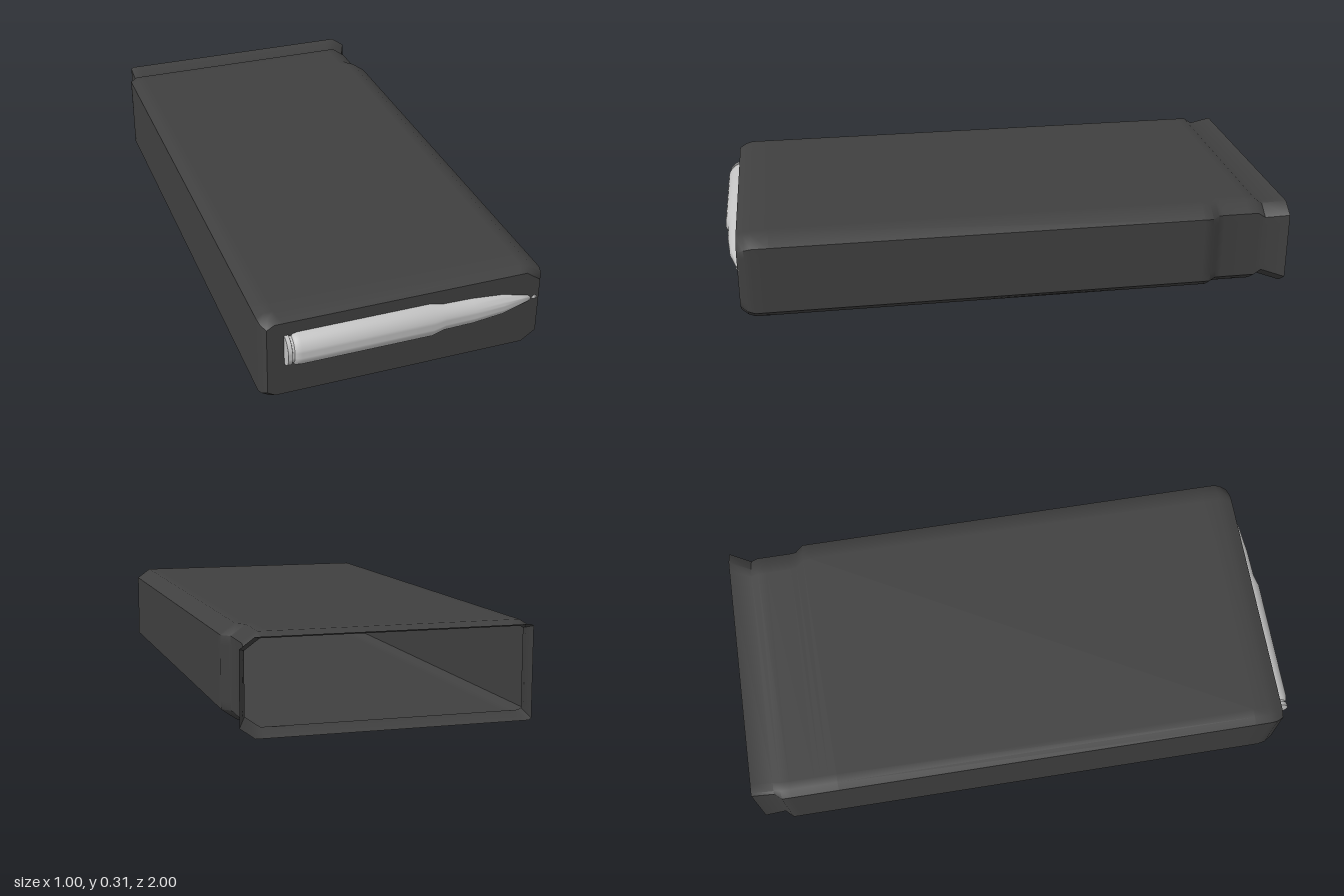
import * as THREE from 'three';
import { toCreasedNormals } from 'three/addons/utils/BufferGeometryUtils.js';

// Chamfered rectangular section, counter-clockwise seen from the front,
// with extra points beside the corners to keep the broad faces flat.
function section({ z, xl = -0.5, xr = 0.488, y0 = 0, y1 = 0.315, cl = 0.026, inset = 0 }) {
  const a = xl + inset, b = xr - inset, c = y0 + inset, d = y1 - inset;
  const lx = cl, ly = cl * 0.6, rx = 0.05, ry = 0.036, s = 0.03;
  return [
    [a + lx, c], [a + lx + s, c], [b - rx - s, c], [b - rx, c],
    [b, c + ry], [b, c + ry + s], [b, d - ry - s], [b, d - ry],
    [b - rx, d], [b - rx - s, d], [a + lx + s, d], [a + lx, d],
    [a, d - ly], [a, d - ly - s], [a, c + ly + s], [a, c + ly],
  ].map(([x, y]) => [x, y, z]);
}

// Skin the sections from front to back
function loft(rows, crease) {
  const n = rows[0].length, index = [];
  for (let r = 0; r < rows.length - 1; r++) {
    for (let i = 0; i < n; i++) {
      const a = r * n + i, b = r * n + (i + 1) % n;
      if (r > 0) index.push(a, a + n, b);
      index.push(b, a + n, b + n);
    }
  }
  const geo = new THREE.BufferGeometry();
  geo.setAttribute('position', new THREE.Float32BufferAttribute(rows.flat(2), 3));
  geo.setIndex(index);
  return toCreasedNormals(geo, crease);
}

export function createModel() {
  const group = new THREE.Group();
  const darkPolymer = new THREE.MeshStandardMaterial({ color: 0x404040, side: THREE.DoubleSide });
  darkPolymer.name = 'dark polymer';
  const paleMetal = new THREE.MeshStandardMaterial({ color: 0xc4c4c4, side: THREE.DoubleSide });
  paleMetal.name = 'pale metal';
  const add = (name, geo, mat) => {
    const mesh = new THREE.Mesh(geo, mat);
    mesh.name = name;
    group.add(mesh);
    return mesh;
  };

  // Hollow case: closed front, side notch, narrow neck and flared open lip
  const front = { z: 0.95, xl: -0.482, xr: 0.468, y0: 0.022, y1: 0.298 };
  const rows = [
    Array.from({ length: 16 }, () => [0, 0.16, 0.95]),
    section({ ...front, inset: 0.03 }),
    section(front),
    section({ z: 0.925, xl: -0.496, xr: 0.483, y0: 0.007, y1: 0.309 }),
    section({ z: 0.9 }),
    section({ z: 0.84 }),
    section({ z: -0.69 }),
    section({ z: -0.72 }),
    section({ z: -0.748, xr: 0.462 }),
    section({ z: -0.77, xr: 0.46 }),
    section({ z: -0.86, xr: 0.46 }),
    section({ z: -0.895, xr: 0.46 }),
    section({ z: -0.922, xl: -0.475, xr: 0.46, y0: 0.018, y1: 0.297, cl: 0.01 }),
    section({ z: -1, xl: -0.475, xr: 0.495, cl: 0.01 }),
  ];
  add('case', loft(rows, 0.85), darkPolymer);

  // Raised half-round cartridge lying across the front face
  const profile = [
    [0, -0.425], [0.055, -0.425], [0.055, -0.411], [0.049, -0.409], [0.05, -0.402],
    [0.057, -0.396], [0.06, -0.38], [0.06, 0.07], [0.049, 0.115], [0.047, 0.22],
    [0.037, 0.33], [0.02, 0.40], [0.012, 0.43], [0.004, 0.44], [0.01, 0.453], [0, 0.472],
  ].map(([r, x]) => new THREE.Vector2(r, x));
  const lathe = new THREE.LatheGeometry(profile, 20, -Math.PI / 2, Math.PI);
  lathe.rotateZ(-Math.PI / 2);
  const cartridge = add('cartridgeRelief', toCreasedNormals(lathe, 0.7), paleMetal);
  cartridge.position.set(0, 0.196, 0.945);
  cartridge.scale.z = 0.92;

  return group;
}
